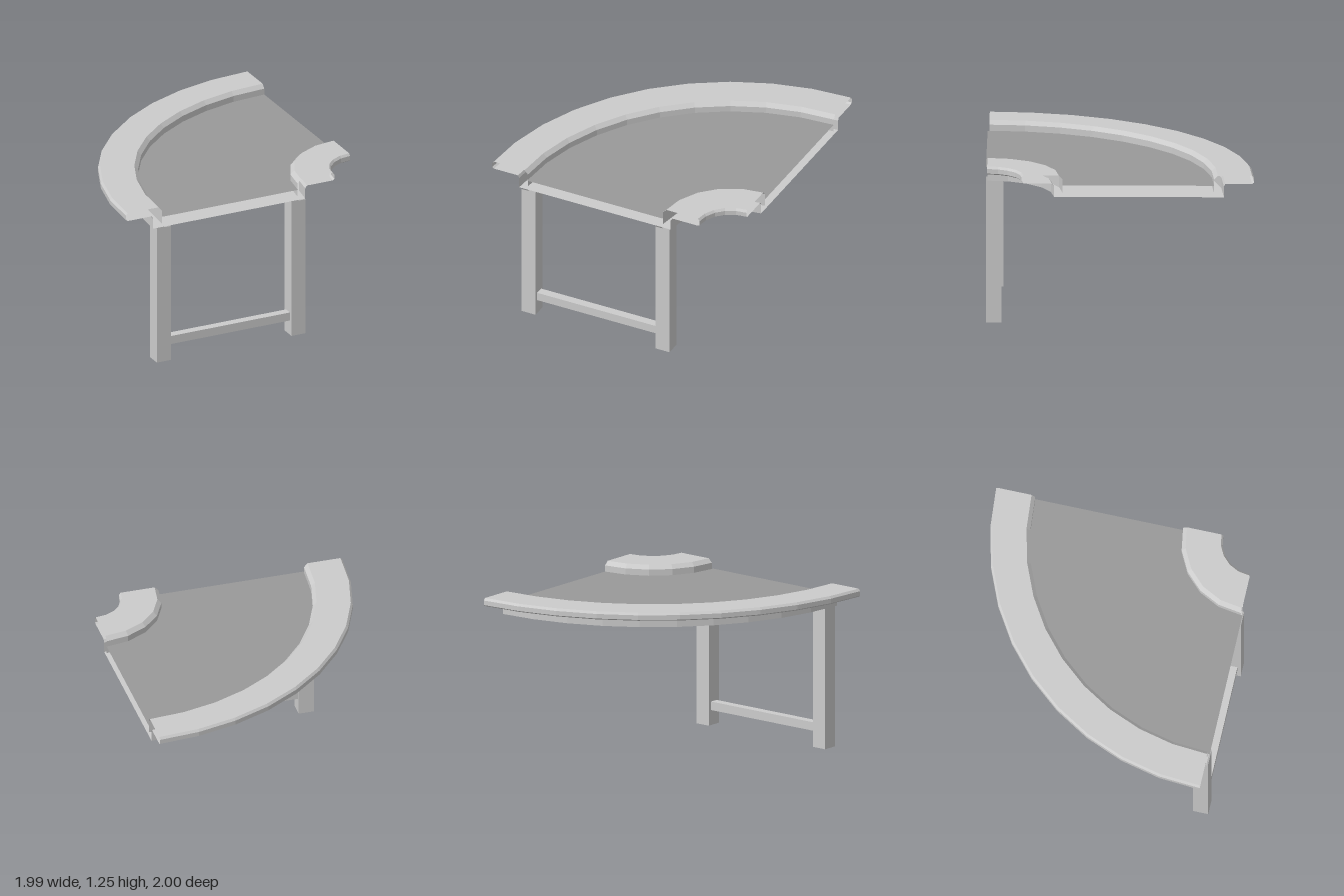
import * as THREE from 'three';

// centre of the quarter-circle bend
const CX = 0.993, CZ = 0.986;

function material(color) {
  return new THREE.MeshStandardMaterial({ color, flatShading: true, side: THREE.DoubleSide });
}

function add(parent, name, geometry, mat, x = 0, y = 0, z = 0) {
  const mesh = new THREE.Mesh(geometry, mat);
  mesh.name = name;
  mesh.position.set(x, y, z);
  parent.add(mesh);
  return mesh;
}

// open profile swept through the quarter turn
function sweep(profile, segments) {
  const points = profile.map(([r, y]) => new THREE.Vector2(r, y));
  return new THREE.LatheGeometry(points, segments, Math.PI, Math.PI / 2);
}

// flat quarter ring, with straight overhang past the front end
function quarterRing(inner, outer, overhang) {
  const points = [];
  const arc = (r, n, reverse) => {
    for (let i = 0; i <= n; i++) {
      const a = (reverse ? 1 - i / n : i / n) * Math.PI / 2;
      points.push(new THREE.Vector2(-r * Math.cos(a), r * Math.sin(a)));
    }
  };
  if (overhang) points.push(new THREE.Vector2(-outer, -overhang));
  arc(outer, 10, false);
  arc(inner, 5, true);
  if (overhang) points.push(new THREE.Vector2(-inner, -overhang));
  return new THREE.ShapeGeometry(new THREE.Shape(points)).rotateX(-Math.PI / 2);
}

// square tube without end caps
function openTube(width, height) {
  return new THREE.CylinderGeometry(width / Math.SQRT2, width / Math.SQRT2, height, 4, 1, true)
    .rotateY(Math.PI / 4);
}

export function createModel() {
  const group = new THREE.Group();
  const grey = material(0xcccccc);
  const dark = material(0x999999);

  // hollow guide rails with overhanging lips
  add(group, 'outerRail', sweep([
    [1.765, 1.087], [1.765, 1.17], [1.775, 1.19], [1.975, 1.19], [1.99, 1.2],
    [1.99, 1.235], [1.975, 1.252], [1.72, 1.252], [1.692, 1.222], [1.692, 1.117],
  ], 10), grey, CX, 0, CZ);
  add(group, 'innerRail', sweep([
    [0.565, 1.117], [0.565, 1.222], [0.535, 1.252], [0.272, 1.252], [0.258, 1.235],
    [0.258, 1.2], [0.272, 1.19], [0.485, 1.19], [0.5, 1.17], [0.5, 1.087],
  ], 5), grey, CX, 0, CZ);

  // running surface, raised above the double-skinned pan
  add(group, 'belt', quarterRing(0.565, 1.692, 0.013), dark, CX, 1.175, CZ);
  add(group, 'panTop', quarterRing(0.565, 1.692, 0), grey, CX, 1.117, CZ);
  add(group, 'panBottom', quarterRing(0.5, 1.765, 0), grey, CX, 1.087, CZ);

  // support frame: two square tube legs and a crossbar
  const frame = new THREE.Group();
  frame.name = 'supportFrame';
  group.add(frame);
  for (const [name, x] of [['leftLeg', 0.431], ['rightLeg', -0.687]]) {
    add(frame, name, openTube(0.117, 1.087), grey, x, 0.5435, 0.94);
  }
  add(frame, 'crossbar', new THREE.BoxGeometry(1.002, 0.065, 0.065), grey, -0.128, 0.148, 0.94);

  return group;
}
